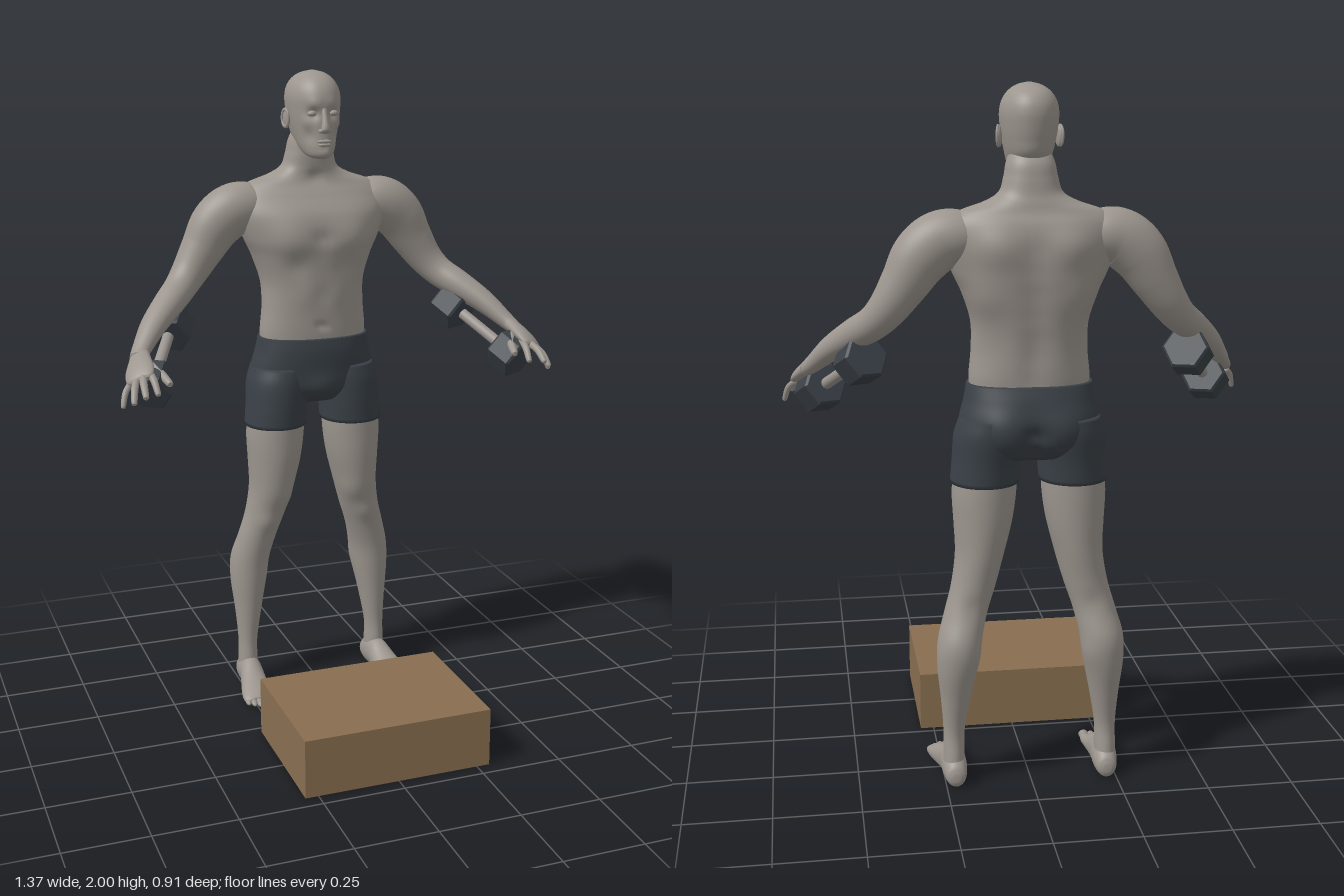
import * as THREE from 'three';

const material = (name, color, flatShading = false) => {
  const m = new THREE.MeshStandardMaterial({ color, flatShading });
  m.name = name;
  return m;
};
const V = (x, y, z) => new THREE.Vector3(x, y, z);
const UP = V(0, 1, 0), SIDE = V(1, 0, 0), FORWARD = V(0, 0, 1);

// Smooth closed skin through elliptical sections [x, y, z, radiusA, radiusB];
// ref points along radiusA, dir fixes the section plane (else it follows the path)
function loft(sections, { ref = SIDE, dir = null, seg = 32, sub = 6, power = 1 } = {}) {
  const span = V(...sections.at(-1)).sub(V(...sections[0]));
  const rows = dir && dir.dot(span) < 0 ? [...sections].reverse() : sections;
  const mid = new THREE.CatmullRomCurve3(rows.map(r => V(r[0], r[1], r[2])), false, 'catmullrom', 0.5);
  const size = new THREE.CatmullRomCurve3(rows.map(r => V(r[3], r[4], 0)), false, 'catmullrom', 0.5);
  const steps = (rows.length - 1) * sub, pos = [], index = [];
  const bend = v => Math.sign(v) * Math.abs(v) ** power;
  for (let i = 0; i <= steps; i++) {
    const c = mid.getPoint(i / steps), s = size.getPoint(i / steps);
    const t = dir || mid.getTangent(i / steps);
    const a = ref.clone().addScaledVector(t, -ref.dot(t)).normalize();
    const b = t.clone().cross(a);
    for (let j = 0; j < seg; j++) {
      const q = j / seg * Math.PI * 2;
      const p = c.clone().addScaledVector(a, s.x * bend(Math.cos(q))).addScaledVector(b, s.y * bend(Math.sin(q)));
      pos.push(p.x, p.y, p.z);
      const k = (j + 1) % seg, o = i * seg;
      if (i < steps) index.push(o + j, o + k, o + seg + j, o + k, o + seg + k, o + seg + j);
    }
  }
  const n = (steps + 1) * seg;
  pos.push(...mid.getPoint(0).toArray(), ...mid.getPoint(1).toArray());
  for (let j = 0; j < seg; j++) {
    const k = (j + 1) % seg, o = steps * seg;
    index.push(n, k, j, n + 1, o + j, o + k);
  }
  const g = new THREE.BufferGeometry();
  g.setAttribute('position', new THREE.Float32BufferAttribute(pos, 3));
  g.setIndex(index);
  g.computeVertexNormals();
  return g;
}

// Swell or dent the skin around points [x, y, z, radius, amount], on both sides
function sculpt(g, bumps) {
  const p = g.attributes.position, nor = g.attributes.normal;
  for (let i = 0; i < p.count; i++) {
    const v = V().fromBufferAttribute(p, i), n = V().fromBufferAttribute(nor, i);
    let d = 0;
    for (const [x, y, z, r, amount] of bumps)
      d += amount * Math.exp(-V(Math.abs(v.x), v.y, v.z).distanceToSquared(V(x, y, z)) / (r * r));
    v.addScaledVector(n, d);
    p.setXYZ(i, v.x, v.y, v.z);
  }
  g.computeVertexNormals();
  return g;
}

// Upright body rows [y, halfWidth, frontZ, backZ]
const upright = rows => rows.map(([y, w, f, b]) => [0, y, (f + b) / 2, w, (f - b) / 2]);
const mirror = (rows, s) => rows.map(([x, ...rest]) => [x * s, ...rest]);

export function createModel() {
  const model = new THREE.Group();
  const skin = material('skin', 0x9d968f), cloth = material('shorts', 0x3a4147);
  const iron = material('iron', 0x3a4147, true), steel = material('steel', 0x9a948e);
  const wood = material('wood', 0x886e50);
  const add = (name, geometry, mat, parent = model) => {
    const m = new THREE.Mesh(geometry, mat);
    m.name = name;
    parent.add(m);
    return m;
  };
  const ball = (name, x, y, z, rx, ry, rz) => {
    const m = add(name, new THREE.SphereGeometry(1, 20, 14), skin);
    m.position.set(x, y, z);
    m.scale.set(rx, ry, rz);
    return m;
  };

  // Step box
  add('stepBox', new THREE.BoxGeometry(0.58, 0.18, 0.432), wood).position.set(0, 0.09, 0.24);

  // Torso and neck
  const torso = loft(upright([
    [1.14, 0.166, -0.215, -0.405], [1.2, 0.17, -0.21, -0.41], [1.28, 0.163, -0.207, -0.41],
    [1.36, 0.165, -0.203, -0.425], [1.44, 0.19, -0.198, -0.437], [1.5, 0.218, -0.195, -0.443],
    [1.57, 0.24, -0.207, -0.443], [1.625, 0.235, -0.24, -0.432], [1.66, 0.2, -0.262, -0.417],
    [1.685, 0.13, -0.268, -0.41], [1.71, 0.088, -0.266, -0.403], [1.75, 0.074, -0.262, -0.397],
    [1.79, 0.066, -0.262, -0.388], [1.83, 0.05, -0.27, -0.36],
  ]), { dir: UP, seg: 72, sub: 9, power: 0.88 });
  sculpt(torso, [
    [0.1, 1.5, -0.2, 0.065, 0.013], [0.08, 1.415, -0.2, 0.035, -0.006], [0, 1.5, -0.19, 0.025, -0.008],
    [0, 1.225, -0.208, 0.012, -0.01], [0, 1.32, -0.2, 0.03, -0.003], [0.05, 1.32, -0.2, 0.04, 0.003],
    [0.1, 1.57, -0.44, 0.06, 0.014], [0.06, 1.27, -0.41, 0.06, 0.007], [0.14, 1.43, -0.42, 0.06, 0.01],
    [0, 1.2, -0.41, 0.04, -0.005], [0, 1.26, -0.41, 0.04, -0.005], [0, 1.32, -0.415, 0.04, -0.005],
    [0, 1.38, -0.425, 0.04, -0.006], [0, 1.44, -0.435, 0.04, -0.007], [0, 1.5, -0.445, 0.04, -0.007],
    [0, 1.56, -0.445, 0.04, -0.007], [0, 1.68, -0.265, 0.02, -0.007],
  ]);
  add('torso', torso, skin);

  // Shorts seat
  const seat = loft(upright([
    [1.185, 0.177, -0.207, -0.414], [1.14, 0.185, -0.202, -0.428], [1.08, 0.2, -0.205, -0.437],
    [1.02, 0.2, -0.212, -0.43], [0.98, 0.14, -0.24, -0.405], [0.968, 0.06, -0.28, -0.36],
  ]), { dir: UP, seg: 64, sub: 8, power: 0.9 });
  sculpt(seat, [
    [0.085, 1.06, -0.43, 0.06, 0.016], [0, 1.05, -0.44, 0.025, -0.016], [0, 1.0, -0.42, 0.03, -0.014],
    [0, 1.03, -0.21, 0.04, 0.012],
  ]);
  add('shortsSeat', seat, cloth);

  // Head
  const head = loft(upright([
    [1.742, 0.022, -0.205, -0.25], [1.752, 0.04, -0.187, -0.29], [1.775, 0.053, -0.181, -0.345],
    [1.81, 0.064, -0.182, -0.388], [1.85, 0.073, -0.183, -0.401], [1.885, 0.078, -0.183, -0.408],
    [1.92, 0.08, -0.183, -0.411], [1.95, 0.074, -0.193, -0.404], [1.975, 0.058, -0.214, -0.383],
    [1.992, 0.034, -0.246, -0.344], [2.0, 0.004, -0.29, -0.3],
  ]), { dir: UP, seg: 72, sub: 8, power: 0.94 });
  sculpt(head, [
    [0.034, 1.877, -0.185, 0.019, -0.013], [0.032, 1.9, -0.183, 0.02, 0.005], [0.055, 1.85, -0.2, 0.02, 0.005],
    [0.05, 1.81, -0.2, 0.022, -0.005], [0, 1.758, -0.183, 0.02, 0.006], [0, 1.775, -0.18, 0.012, -0.004],
  ]);
  add('head', head, skin);
  add('nose', loft([
    [0, 1.897, -0.19, 0.008, 0.006], [0, 1.865, -0.18, 0.009, 0.01], [0, 1.838, -0.173, 0.013, 0.012],
    [0, 1.826, -0.174, 0.015, 0.011], [0, 1.818, -0.181, 0.006, 0.006],
  ], { dir: UP, seg: 20 }), skin);
  ball('upperLip', 0, 1.795, -0.184, 0.023, 0.006, 0.008);
  ball('lowerLip', 0, 1.785, -0.184, 0.02, 0.006, 0.009);

  for (const s of [1, -1]) {
    const side = s > 0 ? 'left' : 'right';
    const part = (name, rows, mat = skin, opt = {}) => add(side + name, loft(mirror(rows, s), opt), mat);

    // Face features
    ball(side + 'Eye', s * 0.034, 1.877, -0.2, 0.014, 0.009, 0.011);
    ball(side + 'Nostril', s * 0.013, 1.826, -0.182, 0.007, 0.007, 0.009);
    ball(side + 'Ear', s * 0.081, 1.856, -0.302, 0.007, 0.029, 0.017).rotation.y = -s * 0.3;
    const rim = add(side + 'EarRim', new THREE.TorusGeometry(0.017, 0.004, 8, 24), skin);
    rim.position.set(s * 0.085, 1.858, -0.303);
    rim.rotation.y = s * (Math.PI / 2 - 0.3);
    rim.scale.y = 1.5;

    // Arm
    part('Arm', [
      [0.1, 1.59, -0.34, 0.04, 0.04], [0.18, 1.592, -0.338, 0.07, 0.072], [0.245, 1.583, -0.335, 0.081, 0.078],
      [0.3, 1.54, -0.337, 0.08, 0.074], [0.345, 1.47, -0.336, 0.067, 0.064], [0.39, 1.402, -0.326, 0.055, 0.056],
      [0.43, 1.356, -0.3, 0.048, 0.05], [0.48, 1.318, -0.25, 0.044, 0.048], [0.54, 1.27, -0.19, 0.036, 0.042],
      [0.59, 1.217, -0.13, 0.026, 0.031], [0.608, 1.197, -0.1, 0.022, 0.029],
    ], skin, { ref: V(0.5 * s, 0.8, 0.1), sub: 8, seg: 40 });

    // Hand and fingers
    const across = V(0.85 * s, -0.45, -0.25);
    part('Palm', [
      [0.598, 1.207, -0.118, 0.027, 0.02], [0.608, 1.193, -0.08, 0.036, 0.021],
      [0.618, 1.175, -0.04, 0.045, 0.019], [0.624, 1.16, -0.01, 0.042, 0.014], [0.626, 1.155, 0, 0.03, 0.006],
    ], skin, { ref: across });
    const fingers = [
      ['Thumb', [0.592, 1.192, -0.085], [0.562, 1.168, -0.03], [0.545, 1.145, 0.035], 0.013],
      ['IndexFinger', [0.594, 1.175, -0.02], [0.59, 1.157, 0.02], [0.586, 1.122, 0.055], 0.0105],
      ['MiddleFinger', [0.615, 1.167, -0.012], [0.623, 1.153, 0.033], [0.627, 1.122, 0.078], 0.011],
      ['RingFinger', [0.634, 1.155, -0.016], [0.647, 1.137, 0.02], [0.657, 1.1, 0.052], 0.0105],
      ['LittleFinger', [0.649, 1.143, -0.03], [0.668, 1.12, -0.012], [0.68, 1.08, 0.004], 0.009],
    ];
    for (const [name, a, b, c, r] of fingers) {
      const near = b.map((v, i) => v + (c[i] - v) * 0.88);
      part(name, [[...a, r, r], [...b, r, r], [...near, r * 0.8, r * 0.8], [...c, r * 0.25, r * 0.25]],
        skin, { ref: across, seg: 12, sub: 5 });
    }

    // Dumbbell
    const bell = new THREE.Group();
    bell.name = side + 'Dumbbell';
    const inner = V(0.467 * s, 1.246, -0.267), outer = V(0.576 * s, 1.128, -0.062);
    bell.position.copy(inner).add(outer).multiplyScalar(0.5);
    bell.quaternion.setFromUnitVectors(UP, outer.clone().sub(inner).normalize());
    const half = inner.distanceTo(outer) / 2;
    const hex = [[0, -0.045], [0.061, -0.045], [0.068, -0.038], [0.068, 0.038], [0.061, 0.045], [0, 0.045]];
    for (const e of [1, -1])
      add('dumbbellHead', new THREE.LatheGeometry(hex.map(p => new THREE.Vector2(...p)), 6), iron, bell).position.y = e * half;
    add('dumbbellHandle', new THREE.CylinderGeometry(0.017, 0.017, half * 2, 20), steel, bell);
    model.add(bell);

    // Leg and shorts leg
    const leg = part('Leg', [
      [0.118, 1.02, -0.315, 0.085, 0.095], [0.125, 0.93, -0.31, 0.09, 0.098], [0.129, 0.86, -0.31, 0.091, 0.098],
      [0.133, 0.78, -0.311, 0.083, 0.095], [0.143, 0.69, -0.315, 0.07, 0.086], [0.162, 0.6, -0.325, 0.064, 0.07],
      [0.186, 0.52, -0.337, 0.062, 0.064], [0.206, 0.44, -0.355, 0.063, 0.069], [0.213, 0.36, -0.355, 0.058, 0.064],
      [0.218, 0.26, -0.346, 0.043, 0.049], [0.223, 0.16, -0.339, 0.031, 0.037], [0.224, 0.09, -0.34, 0.031, 0.042],
      [0.224, 0.03, -0.345, 0.032, 0.045],
    ], skin, { dir: UP, seg: 40 });
    sculpt(leg.geometry, [
      [0.168, 0.58, -0.257, 0.032, 0.008], [0.11, 0.66, -0.25, 0.04, 0.006],
      [0.17, 0.4, -0.39, 0.04, 0.005], [0.175, 0.55, -0.4, 0.03, -0.005],
    ]);
    part('ShortsLeg', [
      [0.106, 1.09, -0.322, 0.092, 0.108], [0.114, 1.04, -0.318, 0.1, 0.113], [0.121, 0.97, -0.312, 0.098, 0.108],
      [0.127, 0.9, -0.31, 0.098, 0.103],
    ], cloth, { dir: UP, seg: 40 });

    // Foot with a flat sole
    const foot = part('Foot', [
      [0.222, 0.033, -0.402, 0.012, 0.014], [0.222, 0.036, -0.39, 0.028, 0.034], [0.223, 0.045, -0.35, 0.036, 0.05],
      [0.225, 0.048, -0.3, 0.037, 0.052], [0.231, 0.036, -0.25, 0.043, 0.041], [0.236, 0.025, -0.2, 0.05, 0.03],
      [0.237, 0.019, -0.165, 0.051, 0.02], [0.237, 0.016, -0.15, 0.042, 0.012],
    ], skin, { dir: FORWARD });
    const p = foot.geometry.attributes.position;
    for (let i = 0; i < p.count; i++) p.setY(i, Math.max(p.getY(i), 0.002));
    foot.geometry.computeVertexNormals();
    for (let i = 0; i < 5; i++) {
      const x = [0.2, 0.223, 0.242, 0.259, 0.275][i], z = [-0.11, -0.11, -0.117, -0.127, -0.14][i];
      const r = i ? 0.0105 - i * 0.0005 : 0.015;
      part('Toe' + (i + 1), [
        [x, 0.02, z - 0.06, r, r], [x + 0.002, 0.018, z - 0.03, r * 0.9, r * 0.9],
        [x + 0.003, 0.015, z - 0.01, r, r * 0.9], [x + 0.003, 0.013, z, r * 0.3, r * 0.3],
      ], skin, { dir: FORWARD, seg: 12, sub: 4 });
    }
  }
  return model;
}
